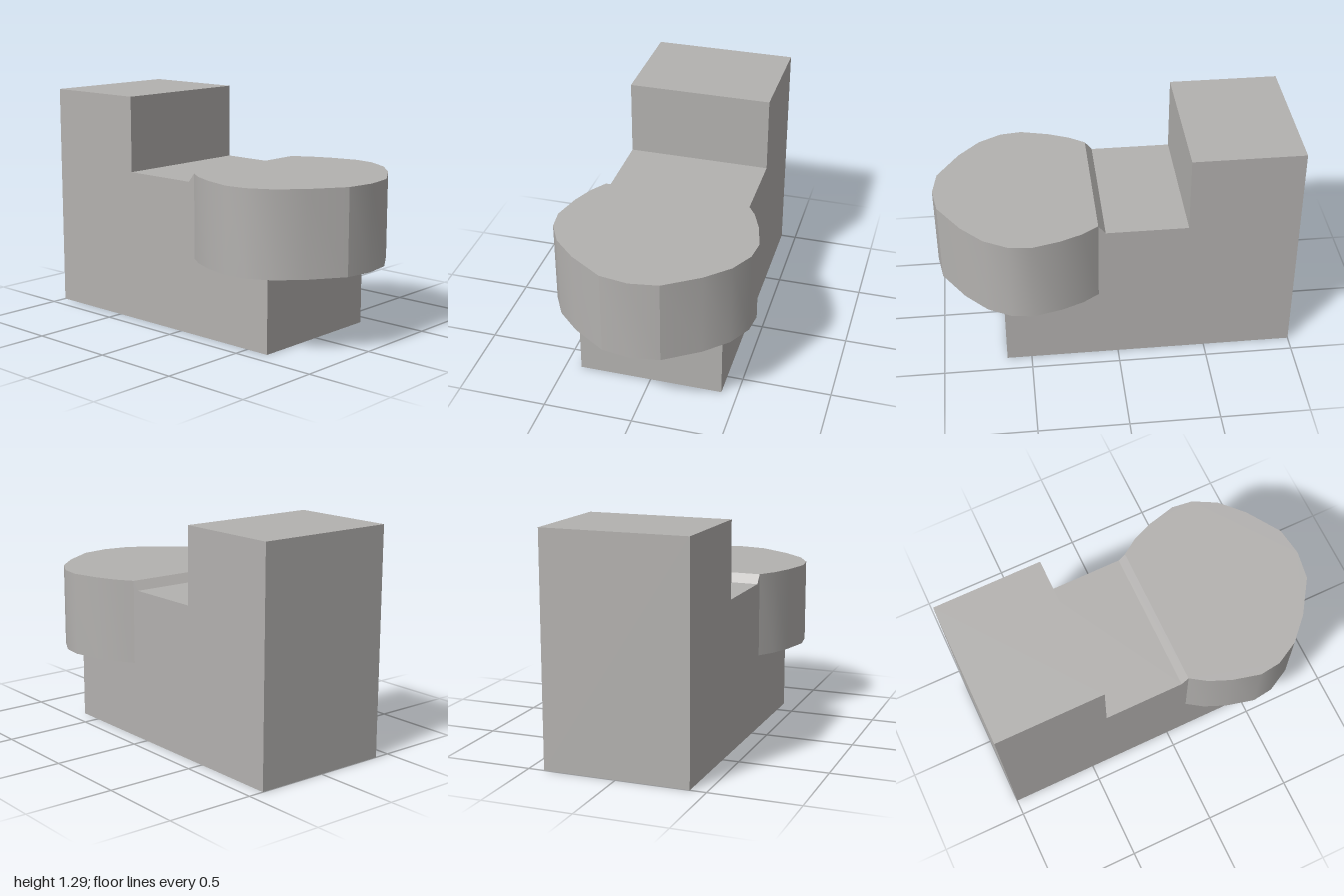
import * as THREE from 'three';
import { toCreasedNormals } from 'three/addons/utils/BufferGeometryUtils.js';

const shapeFrom = (points) => new THREE.Shape(points.map(([x, y]) => new THREE.Vector2(x, y)));

export function createModel() {
  const group = new THREE.Group();
  const grey = new THREE.MeshStandardMaterial({ color: 0xb3b1af });
  grey.name = 'plain grey';

  // Stepped block: tall back, low middle with a small ramp, and a foot under the head
  const width = 0.82;
  const profile = shapeFrom([
    [-1, 0], [0.64, 0], [0.64, 0.435], [0.11, 0.435], [0.11, 0.91],
    [0.07, 0.86], [-0.385, 0.86], [-0.385, 1.29], [-1, 1.29],
  ]);
  const bodyGeometry = new THREE.ExtrudeGeometry(profile, { depth: width, bevelEnabled: false });
  bodyGeometry.translate(0, 0, -width / 2);
  const body = new THREE.Mesh(bodyGeometry, grey);
  body.name = 'steppedBody';

  // Rounded head: half outline mirrored across z, extruded upwards
  const half = [
    [0.11, 0.41], [0.2, 0.47], [0.32, 0.52], [0.48, 0.56], [0.6, 0.545],
    [0.73, 0.475], [0.85, 0.35], [0.975, 0.16],
  ];
  const mirrored = half.map(([x, z]) => [x, -z]);
  const outline = shapeFrom([...mirrored, [1, 0], ...half.reverse()]);
  const headGeometry = new THREE.ExtrudeGeometry(outline, { depth: 0.475, bevelEnabled: false });
  headGeometry.rotateX(-Math.PI / 2);
  headGeometry.translate(0, 0.435, 0);
  const head = new THREE.Mesh(toCreasedNormals(headGeometry, 0.39), grey);
  head.name = 'roundedHead';

  group.add(body, head);
  return group;
}
